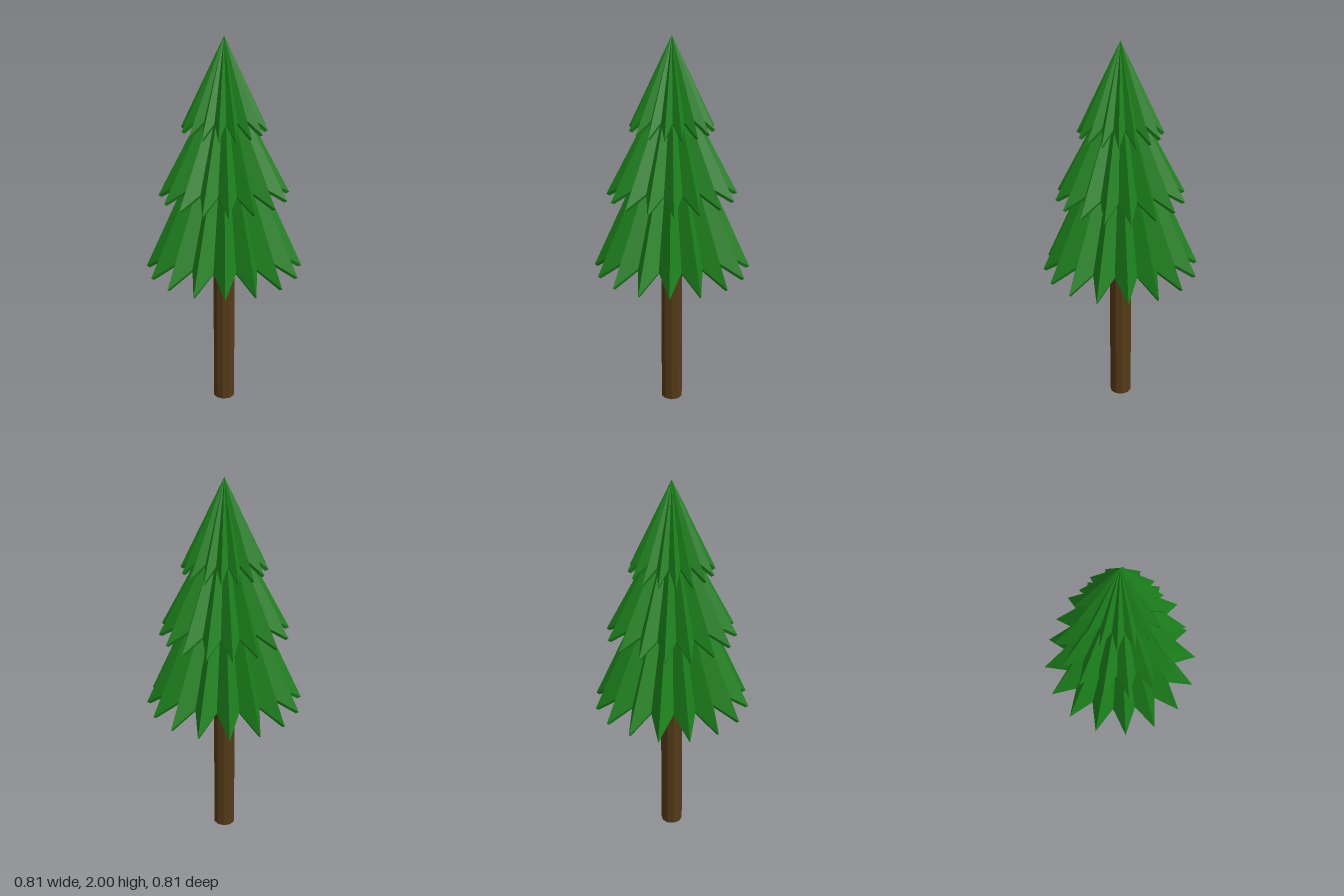
import * as THREE from 'three';

const SPIKES = 16;

// Pleated, thin-walled skirt of foliage: outer fan, inner fan and the rim between them
function foliageTier({ apex, tipR, tipY, valleyR, valleyY, turn }) {
  const n = SPIKES * 2;
  const positions = [];
  const tri = (...points) => points.forEach((p) => positions.push(p.x, p.y, p.z));
  const ring = (dr, dy) => Array.from({ length: n }, (_, i) => {
    const a = turn + (i / n) * Math.PI * 2;
    const r = (i % 2 ? valleyR : tipR) + dr;
    return new THREE.Vector3(r * Math.cos(a), (i % 2 ? valleyY : tipY) + dy, r * Math.sin(a));
  });
  const outer = ring(0, 0);
  const inner = ring(-0.016, -0.01);
  const outerTop = new THREE.Vector3(0, apex, 0);
  const innerTop = new THREE.Vector3(0, apex - 0.045, 0);
  for (let i = 0; i < n; i++) {
    const j = (i + 1) % n;
    tri(outerTop, outer[j], outer[i]);
    tri(innerTop, inner[i], inner[j]);
    tri(outer[i], outer[j], inner[j]);
    tri(outer[i], inner[j], inner[i]);
  }
  const geometry = new THREE.BufferGeometry();
  geometry.setAttribute('position', new THREE.Float32BufferAttribute(positions, 3));
  geometry.computeVertexNormals();
  return geometry;
}

export function createModel() {
  const model = new THREE.Group();
  model.name = 'pineTree';
  const green = new THREE.MeshStandardMaterial({ color: 0x1b801b, flatShading: true, side: THREE.DoubleSide });
  const brown = new THREE.MeshStandardMaterial({ color: 0x543a17, flatShading: true, side: THREE.DoubleSide });

  // Trunk: faceted hollow tube reaching up inside the foliage
  const profile = [[0.046, 1.68], [0.046, 0], [0.057, 0], [0.057, 1.68], [0.046, 1.68]]
    .map(([r, y]) => new THREE.Vector2(r, y));
  const trunk = new THREE.Mesh(new THREE.LatheGeometry(profile, 10), brown);
  trunk.name = 'trunk';
  model.add(trunk);

  // Three foliage tiers, each turned against the one below
  const tiers = {
    lowerFoliage: { apex: 1.7, tipR: 0.405, tipY: 0.785, valleyR: 0.29, valleyY: 0.875, turn: 0.06 },
    middleFoliage: { apex: 1.84, tipR: 0.333, tipY: 1.19, valleyR: 0.235, valleyY: 1.26, turn: 0 },
    upperFoliage: { apex: 2, tipR: 0.217, tipY: 1.535, valleyR: 0.147, valleyY: 1.605, turn: Math.PI / SPIKES },
  };
  for (const [name, spec] of Object.entries(tiers)) {
    const mesh = new THREE.Mesh(foliageTier(spec), green);
    mesh.name = name;
    model.add(mesh);
  }
  return model;
}
